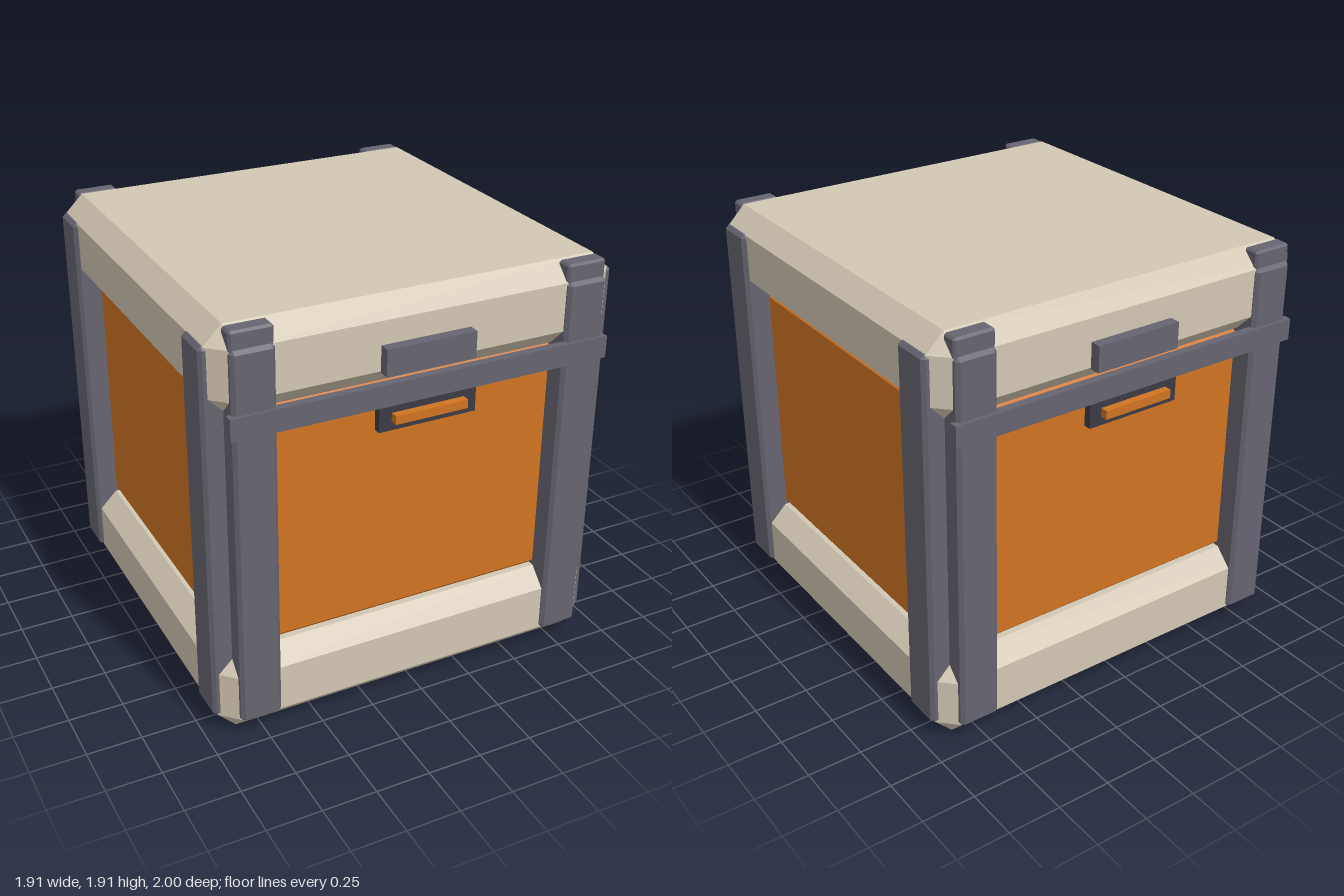
import * as THREE from 'three';
import { ConvexGeometry } from 'three/addons/geometries/ConvexGeometry.js';

const mat = (name, color) => {
  const m = new THREE.MeshStandardMaterial({ color });
  m.name = name;
  return m;
};

// Box given by its min and max corners, with every edge cut by b
function chamferBox(name, material, [x0, y0, z0], [x1, y1, z1], b) {
  const h = [(x1 - x0) / 2, (y1 - y0) / 2, (z1 - z0) / 2];
  const points = [];
  for (const sx of [-1, 1]) for (const sy of [-1, 1]) for (const sz of [-1, 1]) {
    for (let axis = 0; axis < 3; axis++) {
      const [x, y, z] = h.map((v, i) => (i === axis ? v : v - b));
      points.push(new THREE.Vector3(sx * x, sy * y, sz * z));
    }
  }
  const mesh = new THREE.Mesh(new ConvexGeometry(points), material);
  mesh.position.set((x0 + x1) / 2, (y0 + y1) / 2, (z0 + z1) / 2);
  mesh.name = name;
  return mesh;
}

function plainBox(name, material, [x0, y0, z0], [x1, y1, z1]) {
  const mesh = new THREE.Mesh(new THREE.BoxGeometry(x1 - x0, y1 - y0, z1 - z0), material);
  mesh.position.set((x0 + x1) / 2, (y0 + y1) / 2, (z0 + z1) / 2);
  mesh.name = name;
  return mesh;
}

export function createModel() {
  const beige = mat('beige shell', 0xd2c7b4);
  const orange = mat('orange panel', 0xd07422);
  const grey = mat('grey metal', 0x666570);
  const dark = mat('dark metal', 0x3c3b45);

  const model = new THREE.Group();
  model.name = 'crate';

  // Base, lid and the panelled core between them
  model.add(chamferBox('base', beige, [-0.935, 0, -0.935], [0.935, 0.385, 0.935], 0.083));
  model.add(chamferBox('lid', beige, [-0.935, 1.53, -0.935], [0.935, 1.915, 0.935], 0.083));
  model.add(chamferBox('panelCore', orange, [-0.845, 0.385, -0.845], [0.845, 1.535, 0.845], 0.025));

  // Two upright posts on each of the four sides
  for (let side = 0; side < 4; side++) {
    const posts = new THREE.Group();
    posts.name = 'sidePosts';
    posts.rotation.y = side * Math.PI / 2;
    for (const s of [-1, 1]) {
      const cx = s * 0.767;
      posts.add(chamferBox('post', grey, [cx - 0.095, 0.082, 0.78], [cx + 0.095, 1.835, 0.955], 0.016));
    }
    model.add(posts);
  }

  // Front and back hardware
  for (const turn of [0, Math.PI]) {
    const latch = new THREE.Group();
    latch.name = turn ? 'backHardware' : 'frontHardware';
    latch.rotation.y = turn;
    for (const s of [-1, 1]) {
      const cx = s * 0.767;
      latch.add(chamferBox('postCap', grey, [cx - 0.095, 1.82, 0.86], [cx + 0.095, 1.913, 0.938], 0.01));
    }
    latch.add(plainBox('rail', grey, [-0.88, 1.465, 0.93], [0.88, 1.565, 0.97]));
    latch.add(plainBox('lidPlate', grey, [-0.208, 1.607, 0.92], [0.208, 1.727, 0.985]));
    latch.add(plainBox('latchBracket', dark, [-0.228, 1.352, 0.93], [0.228, 1.467, 0.965]));
    latch.add(plainBox('latchHandle', orange, [-0.17, 1.392, 0.95], [0.17, 1.432, 1]));
    model.add(latch);
  }
  return model;
}
